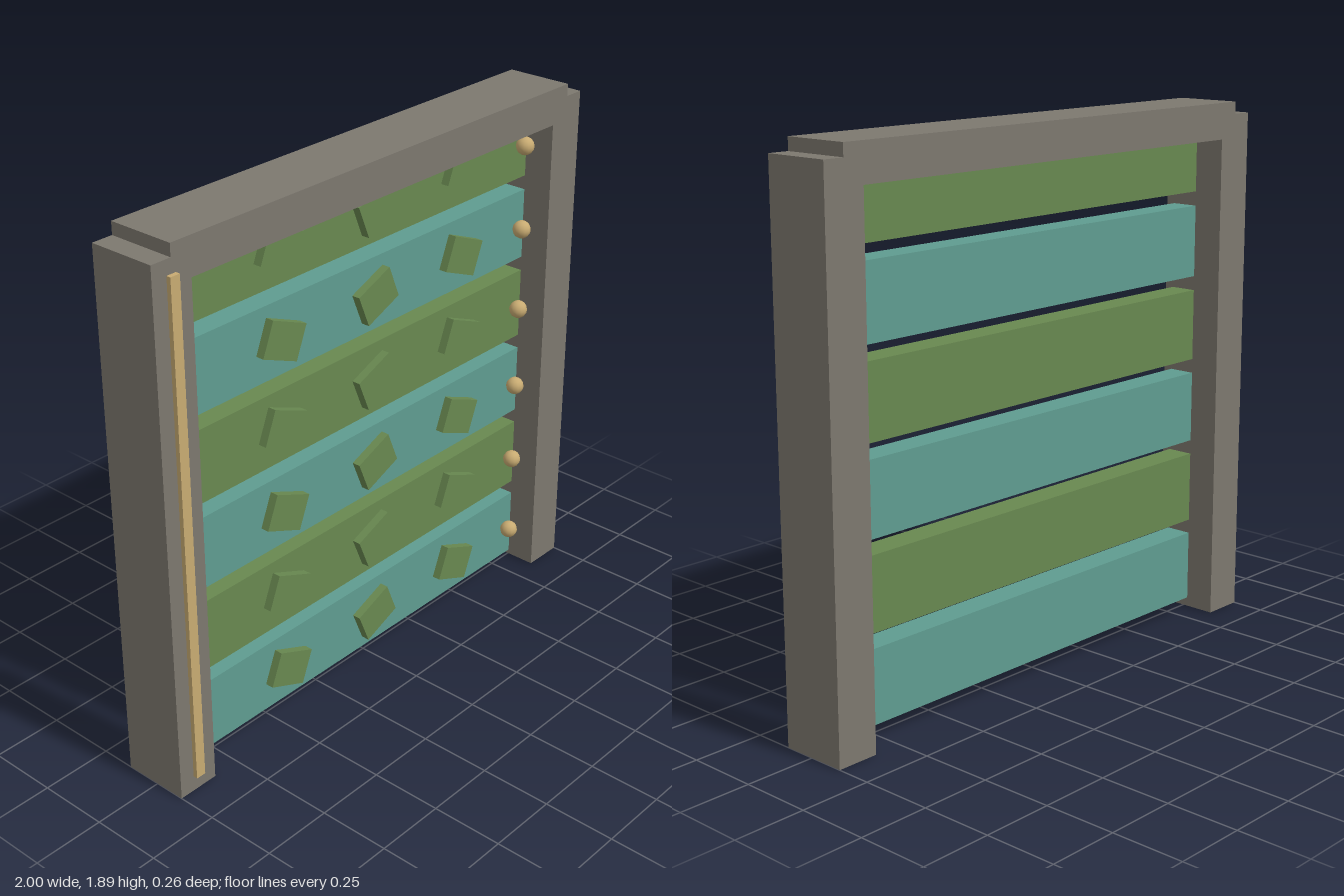
import * as THREE from 'three';

export function createModel() {
  const model = new THREE.Group();
  const paint = (name, color) => {
    const m = new THREE.MeshStandardMaterial({ color });
    m.name = name;
    return m;
  };
  const stone = paint('stone grey', 0x7d786f);
  const teal = paint('teal', 0x5f9c90);
  const green = paint('leaf green', 0x688850);
  const brass = paint('brass', 0xc8ab72);

  const add = (name, geometry, material, x, y, z, parent = model) => {
    const mesh = new THREE.Mesh(geometry, material);
    mesh.name = name;
    mesh.position.set(x, y, z);
    parent.add(mesh);
    return mesh;
  };

  const frameBack = -0.128, frameDepth = 0.24;
  const frameFront = frameBack + frameDepth;
  const frameMid = frameBack + frameDepth / 2;

  // Door frame: two posts joined by a raised lintel
  const half = [[0.85, 1.765], [0.85, 0], [1, 0], [1, 1.85], [0.925, 1.85], [0.925, 1.893]];
  const outline = [...half, ...half.map(([x, y]) => [-x, y]).reverse()];
  const frameShape = new THREE.Shape(outline.map(([x, y]) => new THREE.Vector2(x, y)));
  const frameGeo = new THREE.ExtrudeGeometry(frameShape, { depth: frameDepth, bevelEnabled: false });
  add('frame', frameGeo, stone, 0, 0, frameBack);

  // Narrow strip on the front of the right post
  add('postStrip', new THREE.BoxGeometry(0.036, 1.745, 0.016), brass, -0.926, 0.928, frameFront + 0.008);

  // Six slats, alternating in colour, each with three tilted tiles and a knob
  const slatDepth = 0.096;
  const slatFront = frameMid + slatDepth / 2;
  const slatGeo = new THREE.BoxGeometry(1.6, 0.254, slatDepth);
  const tileGeo = new THREE.BoxGeometry(0.158, 0.123, 0.03);
  const knobGeo = new THREE.SphereGeometry(0.032, 12, 8);
  for (let i = 0; i < 6; i++) {
    const row = new THREE.Group();
    row.name = `slatRow${i + 1}`;
    row.position.y = 0.183 + i * 0.305;
    model.add(row);
    add('slat', slatGeo, i % 2 ? green : teal, 0, 0, frameMid, row);
    [-0.437, 0, 0.437].forEach((x, k) => {
      const tile = add('tile', tileGeo, green, x, 0, slatFront + 0.015, row);
      tile.rotation.z = k === 1 ? 0.39 : -0.39;
    });
    add('knob', knobGeo, brass, 0.753, 0, slatFront + 0.03, row);
  }

  return model;
}
